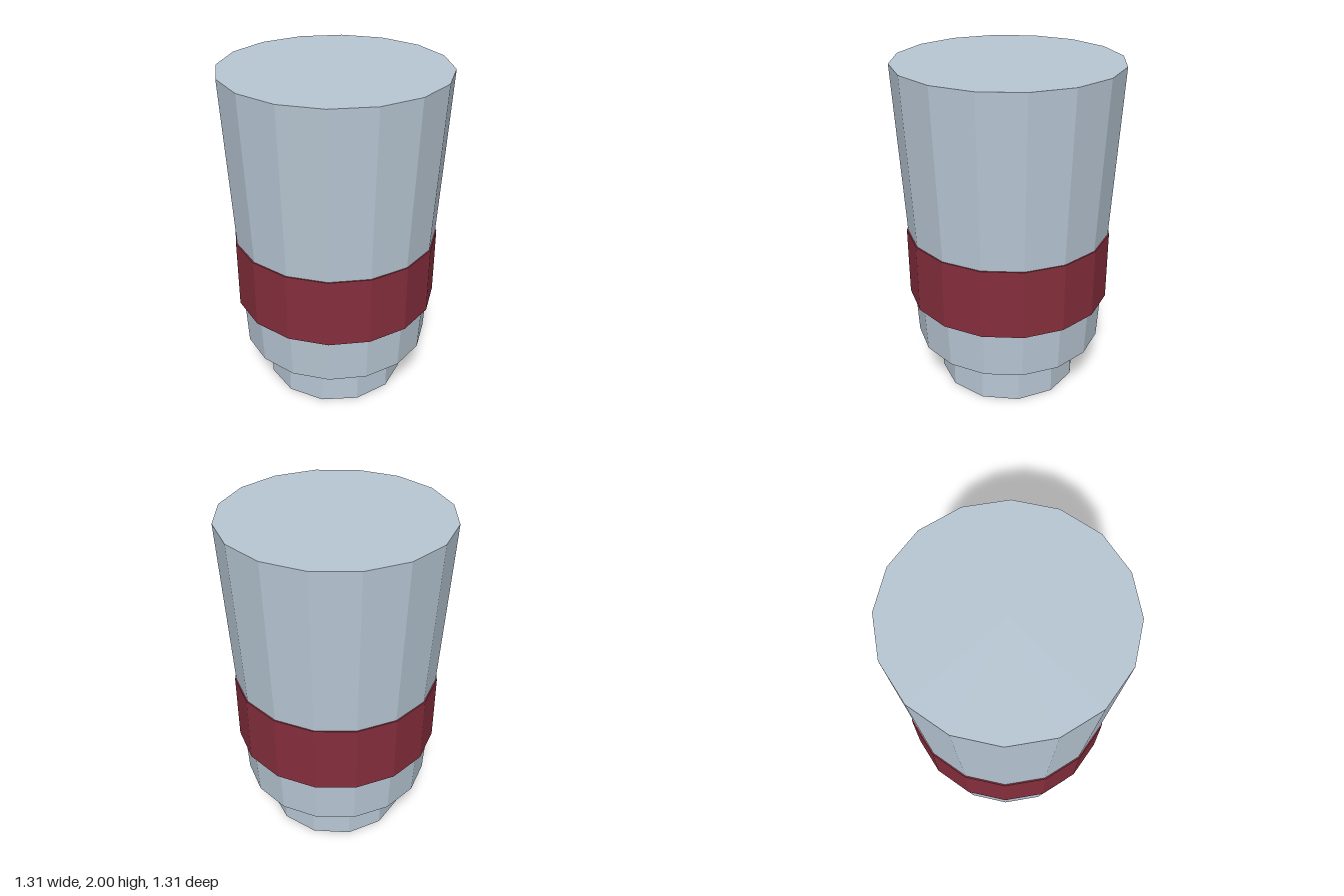
import * as THREE from 'three';

export function createModel() {
  const group = new THREE.Group();
  const metal = new THREE.MeshStandardMaterial({ color: 0xb8c7d4, flatShading: true });
  metal.name = 'pale blue grey';
  const red = new THREE.MeshStandardMaterial({ color: 0x852e3c, flatShading: true });
  red.name = 'dark red';

  // Upright faceted drum between two heights
  const addDrum = (name, material, rTop, rBottom, y0, y1, sides) => {
    const geometry = new THREE.CylinderGeometry(rTop, rBottom, y1 - y0, sides);
    const mesh = new THREE.Mesh(geometry, material);
    mesh.name = name;
    mesh.position.y = (y0 + y1) / 2;
    group.add(mesh);
  };

  addDrum('neck', metal, 0.428, 0.428, 0, 0.29, 12);
  addDrum('taperedBody', metal, 0.655, 0.57, 0.29, 2, 16);
  addDrum('band', red, 0.613, 0.613, 0.58, 1, 16);

  return group;
}
